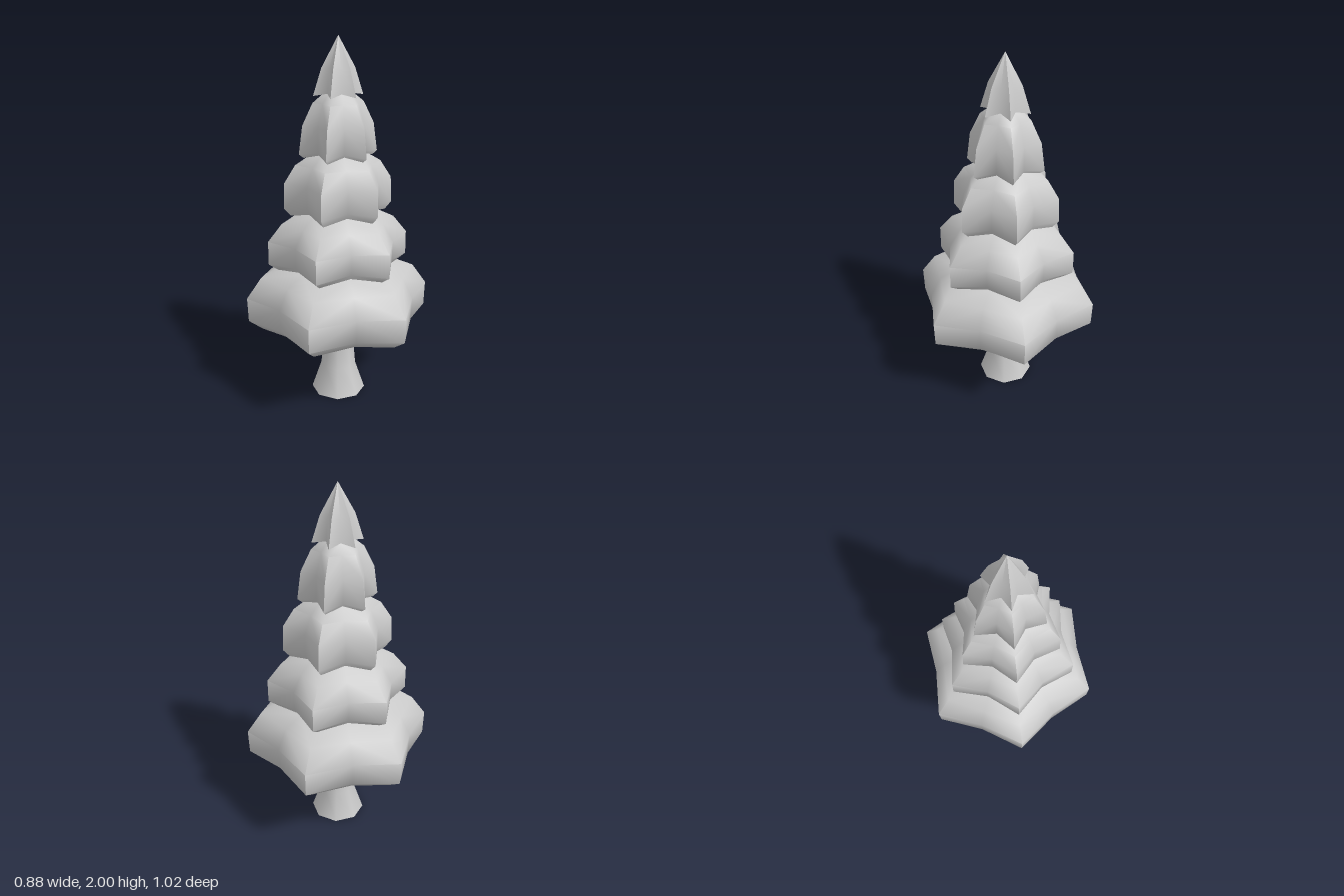
import * as THREE from 'three';
import { toCreasedNormals } from 'three/addons/utils/BufferGeometryUtils.js';

const material = new THREE.MeshStandardMaterial({ color: 0xcccccc, side: THREE.DoubleSide });

// Skins six-pointed star rings, listed bottom to top as [tipRadius, valleyRadius, tipY, valleyY]
function starTier(rings) {
  const sides = 12, positions = [], index = [];
  for (const [tipR, valleyR, tipY, valleyY] of rings) {
    for (let i = 0; i < sides; i++) {
      const a = (i / sides) * Math.PI * 2;
      const tip = i % 2 === 0;
      const r = tip ? tipR : valleyR;
      positions.push(Math.sin(a) * r, tip ? tipY : valleyY, Math.cos(a) * r);
    }
  }
  for (let k = 0; k < rings.length - 1; k++) {
    for (let i = 0; i < sides; i++) {
      const a = k * sides + i, b = k * sides + (i + 1) % sides;
      const c = a + sides, d = b + sides;
      // the diagonal always starts at a tip, so the tiers stay symmetric
      if (i % 2 === 0) index.push(a, b, d, a, d, c);
      else index.push(a, b, c, b, d, c);
    }
  }
  const geometry = new THREE.BufferGeometry();
  geometry.setAttribute('position', new THREE.Float32BufferAttribute(positions, 3));
  geometry.setIndex(index);
  return toCreasedNormals(geometry, 1.15);
}

const tiers = {
  bottomBranches: [
    [0.07, 0.07, 0.49, 0.49], [0.43, 0.38, 0.42, 0.455], [0.505, 0.415, 0.475, 0.495],
    [0.51, 0.42, 0.61, 0.62], [0.43, 0.365, 0.725, 0.725], [0.28, 0.26, 0.775, 0.775], [0.15, 0.15, 0.82, 0.82],
  ],
  lowerBranches: [
    [0.18, 0.18, 0.82, 0.82], [0.335, 0.285, 0.765, 0.798], [0.385, 0.3, 0.8, 0.825],
    [0.385, 0.305, 0.93, 0.935], [0.31, 0.25, 1.025, 1.025], [0.2, 0.18, 1.08, 1.08], [0.1, 0.1, 1.12, 1.12],
  ],
  middleBranches: [
    [0.13, 0.13, 1.12, 1.12], [0.26, 0.205, 1.07, 1.1], [0.295, 0.22, 1.11, 1.13],
    [0.29, 0.22, 1.25, 1.25], [0.23, 0.18, 1.345, 1.345], [0.14, 0.12, 1.4, 1.4], [0.06, 0.06, 1.43, 1.43],
  ],
  upperBranches: [
    [0.09, 0.09, 1.43, 1.43], [0.185, 0.135, 1.38, 1.405], [0.21, 0.142, 1.4, 1.42],
    [0.19, 0.14, 1.55, 1.55], [0.135, 0.108, 1.665, 1.665], [0.08, 0.07, 1.71, 1.71], [0.03, 0.03, 1.74, 1.74],
  ],
  treetop: [
    [0.04, 0.04, 1.73, 1.73], [0.132, 0.075, 1.7, 1.715], [0.088, 0.062, 1.84, 1.84], [0, 0, 2, 2],
  ],
};

export function createModel() {
  const model = new THREE.Group();

  // Flared trunk
  const profile = [[0.15, 0], [0.097, 0.16], [0.084, 0.32], [0.09, 0.44], [0.09, 0.52]]
    .map(([r, y]) => new THREE.Vector2(r, y));
  const trunk = new THREE.Mesh(new THREE.LatheGeometry(profile, 8), material);
  trunk.name = 'trunk';
  model.add(trunk);

  // Stacked star-shaped branch tiers
  for (const [name, rings] of Object.entries(tiers)) {
    const tier = new THREE.Mesh(starTier(rings), material);
    tier.name = name;
    model.add(tier);
  }
  return model;
}
